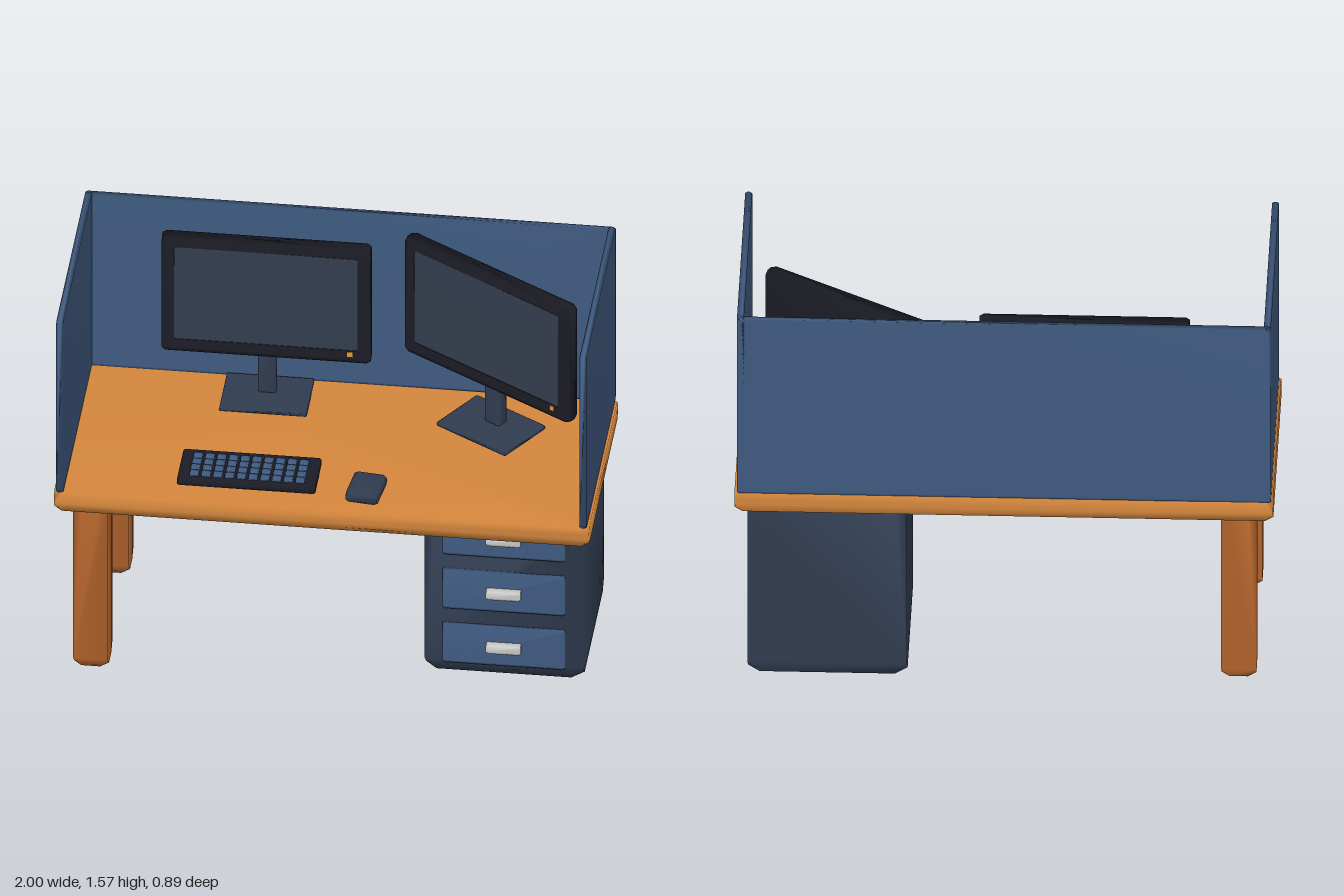
import * as THREE from 'three';

const mat = (name, color) => {
  const m = new THREE.MeshStandardMaterial({ color });
  m.name = name;
  return m;
};

// Box with its eight corners cut off; normals are shared so the shading blends.
function cutBox(w, h, d, r) {
  const half = [w / 2, h / 2, d / 2];
  const pos = [], index = [];
  for (let c = 0; c < 8; c++) {
    for (let k = 0; k < 3; k++) {
      for (let i = 0; i < 3; i++) {
        pos.push((c >> i & 1 ? 1 : -1) * (half[i] - (i === k ? r : 0)));
      }
    }
  }
  const P = (i) => new THREE.Vector3().fromArray(pos, i * 3);
  const tri = (a, b, c) => {
    const A = P(a), n = P(b).sub(A).cross(P(c).sub(A));
    const out = A.add(P(b)).add(P(c));
    index.push(...(n.dot(out) > 0 ? [a, b, c] : [a, c, b]));
  };
  for (let c = 0; c < 8; c++) tri(c * 3, c * 3 + 1, c * 3 + 2);
  for (let a = 0; a < 3; a++) {
    const b = (a + 1) % 3, c = (a + 2) % 3;
    for (const s of [0, 1]) {
      const id = (sb, sc, k) => ((s << a) | (sb << b) | (sc << c)) * 3 + k;
      const ring = [
        id(0, 0, c), id(0, 0, b), id(1, 0, b), id(1, 0, c),
        id(1, 1, c), id(1, 1, b), id(0, 1, b), id(0, 1, c),
      ];
      for (let i = 1; i < 7; i++) tri(ring[0], ring[i], ring[i + 1]);
    }
  }
  const g = new THREE.BufferGeometry();
  g.setAttribute('position', new THREE.Float32BufferAttribute(pos, 3));
  g.setIndex(index);
  g.computeVertexNormals();
  return g;
}

// Block given by its lower and upper limits on each axis.
function block(parent, name, material, [x0, x1], [y0, y1], [z0, z1], r = 0) {
  const s = [x1 - x0, y1 - y0, z1 - z0];
  const mesh = new THREE.Mesh(r ? cutBox(...s, r) : new THREE.BoxGeometry(...s), material);
  mesh.position.set((x0 + x1) / 2, (y0 + y1) / 2, (z0 + z1) / 2);
  mesh.name = name;
  parent.add(mesh);
  return mesh;
}

function group(parent, name, x = 0, y = 0, z = 0, turn = 0) {
  const g = new THREE.Group();
  g.name = name;
  g.position.set(x, y, z);
  g.rotation.y = turn;
  parent.add(g);
  return g;
}

export function createModel() {
  const model = new THREE.Group();
  model.name = 'officeDesk';
  const wood = mat('lightWood', 0xd4863c);
  const legWood = mat('darkWood', 0xb0622c);
  const blue = mat('blueFabric', 0x3f5a80);
  const slate = mat('slate', 0x303c50);
  const black = mat('blackPlastic', 0x1c1c26);
  const glass = mat('screenGlass', 0x333d4e);
  const metal = mat('metal', 0xc8c8c8);
  const amber = mat('amberLight', 0xf0a030);

  // Desk top and the two legs on the open side
  block(model, 'deskTop', wood, [-1, 1], [0.73, 0.81], [-0.443, 0.443], 0.03);
  for (const z of [0.315, -0.315]) {
    block(model, 'leg', legWood, [-0.935, -0.805], [0.005, 0.735], [z - 0.065, z + 0.065], 0.03);
  }

  // Partition panels
  block(model, 'backPanel', blue, [-0.99, 0.99], [0.81, 1.57], [-0.443, -0.417], 0.009);
  for (const s of [-1, 1]) {
    block(model, 'sidePanel', blue, [s * 0.978 - 0.013, s * 0.978 + 0.013], [0.81, 1.57], [-0.443, 0.443], 0.009);
  }

  // Drawer cabinet
  const cabinet = group(model, 'drawerCabinet');
  block(cabinet, 'cabinetBody', slate, [0.36, 0.953], [0, 0.735], [-0.4, 0.23], 0.045);
  for (const y of [0.125, 0.365, 0.605]) {
    block(cabinet, 'drawerFront', blue, [0.428, 0.885], [y - 0.085, y + 0.085], [0.215, 0.243], 0.009);
    block(cabinet, 'drawerHandle', metal, [0.593, 0.722], [y - 0.018, y + 0.018], [0.238, 0.27], 0.009);
  }

  // Monitors on stands; the second one is turned inwards
  for (const [x, z, turn] of [[-0.295, -0.29, 0], [0.556, -0.188, -0.56]]) {
    const m = group(model, 'monitor', x, 0.81, z, turn);
    block(m, 'standBase', slate, [-0.163, 0.163], [0, 0.015], [-0.118, 0.118], 0.005);
    block(m, 'standNeck', slate, [-0.033, 0.033], [0.01, 0.32], [-0.05, -0.005], 0.01);
    block(m, 'monitorFrame', black, [-0.39, 0.39], [0.195, 0.695], [-0.026, 0.026], 0.015);
    block(m, 'screen', glass, [-0.343, 0.343], [0.25, 0.655], [0.022, 0.03], 0.003);
    block(m, 'powerLight', amber, [0.304, 0.324], [0.221, 0.241], [0.022, 0.03]);
  }

  // Keyboard with rows of keys
  const keyboard = group(model, 'keyboard', -0.295, 0.81, 0.234);
  block(keyboard, 'keyboardBody', black, [-0.258, 0.258], [0, 0.024], [-0.103, 0.103], 0.008);
  for (let row = 0; row < 4; row++) {
    for (let col = 0; col < 10; col++) {
      const x = (col - 4.5) * 0.044, z = (row - 1.5) * 0.039;
      block(keyboard, 'key', blue, [x - 0.017, x + 0.017], [0.02, 0.033], [z - 0.015, z + 0.015], 0.004);
    }
  }

  // Mouse
  const mouse = group(model, 'mouse', 0.15, 0.81, 0.3, -0.12);
  block(mouse, 'mouseBody', slate, [-0.06, 0.06], [0, 0.035], [-0.077, 0.077], 0.012);

  return model;
}
